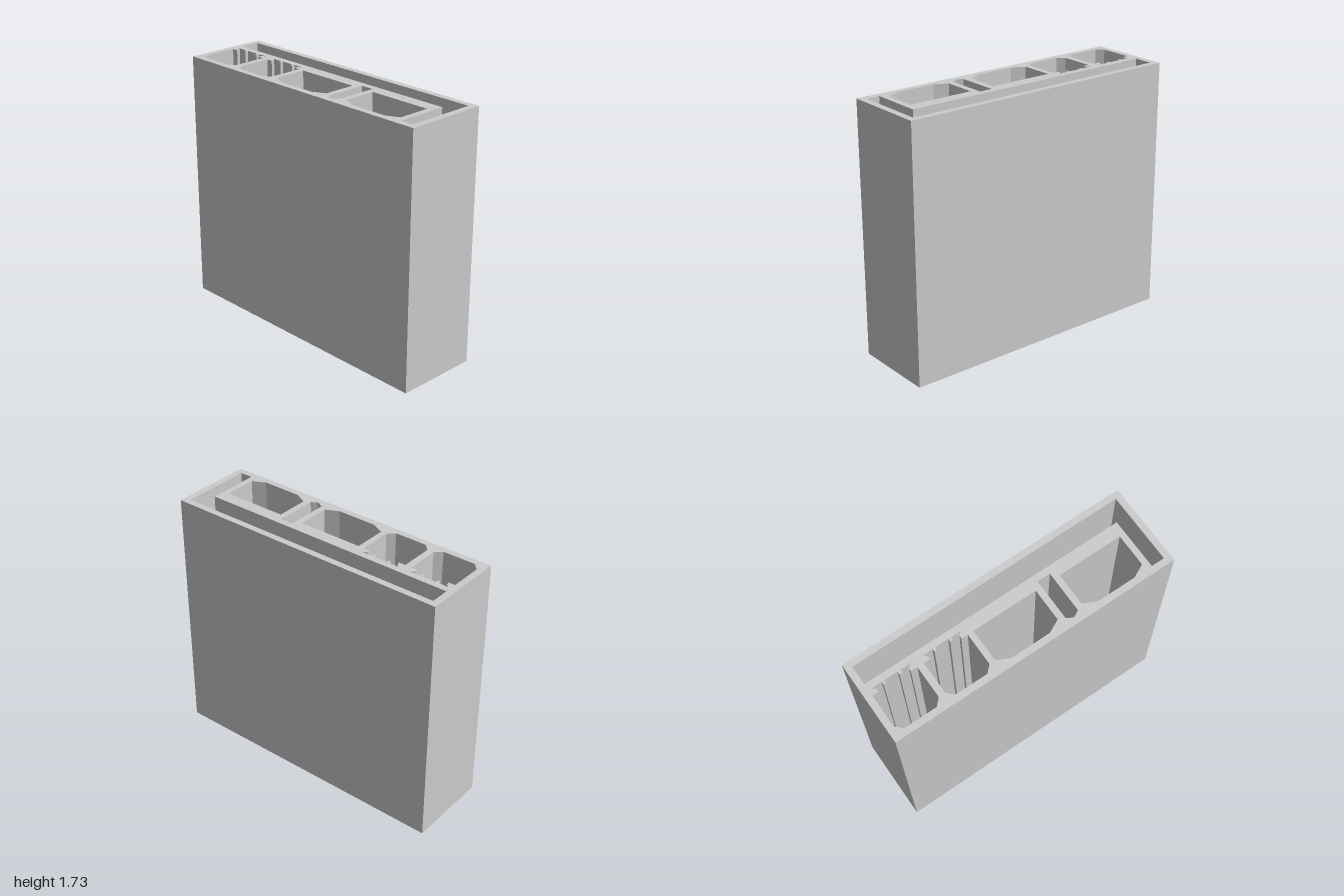
import * as THREE from 'three';

const HEIGHT = 1.73;
const W = 1, D = 0.287; // half width and half depth
const FRONT = 0.243;    // front inner face of every cavity

const points = (list) => list.map(([x, z]) => new THREE.Vector2(x, z));

// Rectangular chamber with sloped front corners
function chamber(x0, x1, back, chamferX, chamferZ) {
  return [
    [x0, back], [x1, back], [x1, FRONT - chamferZ], [x1 - chamferX, FRONT],
    [x0 + chamferX, FRONT], [x0, FRONT - chamferZ],
  ];
}

// Chamber whose back wall holds a hooked groove with two small ribs
function groovedChamber(x) {
  const lip = -0.025, hook = -0.045, back = -0.067;
  const rib = (a, b) => [[a, back], [a, hook], [b, hook], [b, back]];
  return [
    [0, lip], [0.043, lip], [0.043, hook], [0.02, back],
    ...rib(0.09, 0.107), ...rib(0.2, 0.22),
    [0.29, back], [0.265, hook], [0.265, lip], [0.31, lip],
    [0.31, FRONT - 0.043], [0.267, FRONT], [0.043, FRONT], [0, FRONT - 0.043],
  ].map(([px, pz]) => [px + x, pz]);
}

export function createModel() {
  const group = new THREE.Group();
  group.name = 'hollowProfile';

  // Outer cross-section
  const section = new THREE.Shape(points([[-W, -D], [W, -D], [W, D], [-W, D]]));

  // L-shaped channel along the back and left side, then the front chambers
  const channel = [
    [-0.955, -0.243], [0.955, -0.243], [0.955, FRONT],
    [0.865, FRONT], [0.865, -0.112], [-0.955, -0.112],
  ];
  const cavities = [
    channel,
    groovedChamber(-0.955),
    groovedChamber(-0.6),
    chamber(-0.25, 0.2, -0.025, 0.088, 0.043),
    chamber(0.243, 0.333, -0.067, 0.04, 0.022),
    chamber(0.375, 0.823, -0.025, 0.088, 0.043),
  ];
  for (const c of cavities) section.holes.push(new THREE.Path(points(c)));

  // Extrude the section and stand it upright
  const geometry = new THREE.ExtrudeGeometry(section, { depth: HEIGHT, bevelEnabled: false });
  geometry.rotateX(Math.PI / 2).translate(0, HEIGHT, 0);

  const body = new THREE.Mesh(
    geometry,
    new THREE.MeshStandardMaterial({ color: 0xcccccc, flatShading: true }),
  );
  body.name = 'profileBody';
  group.add(body);
  return group;
}
